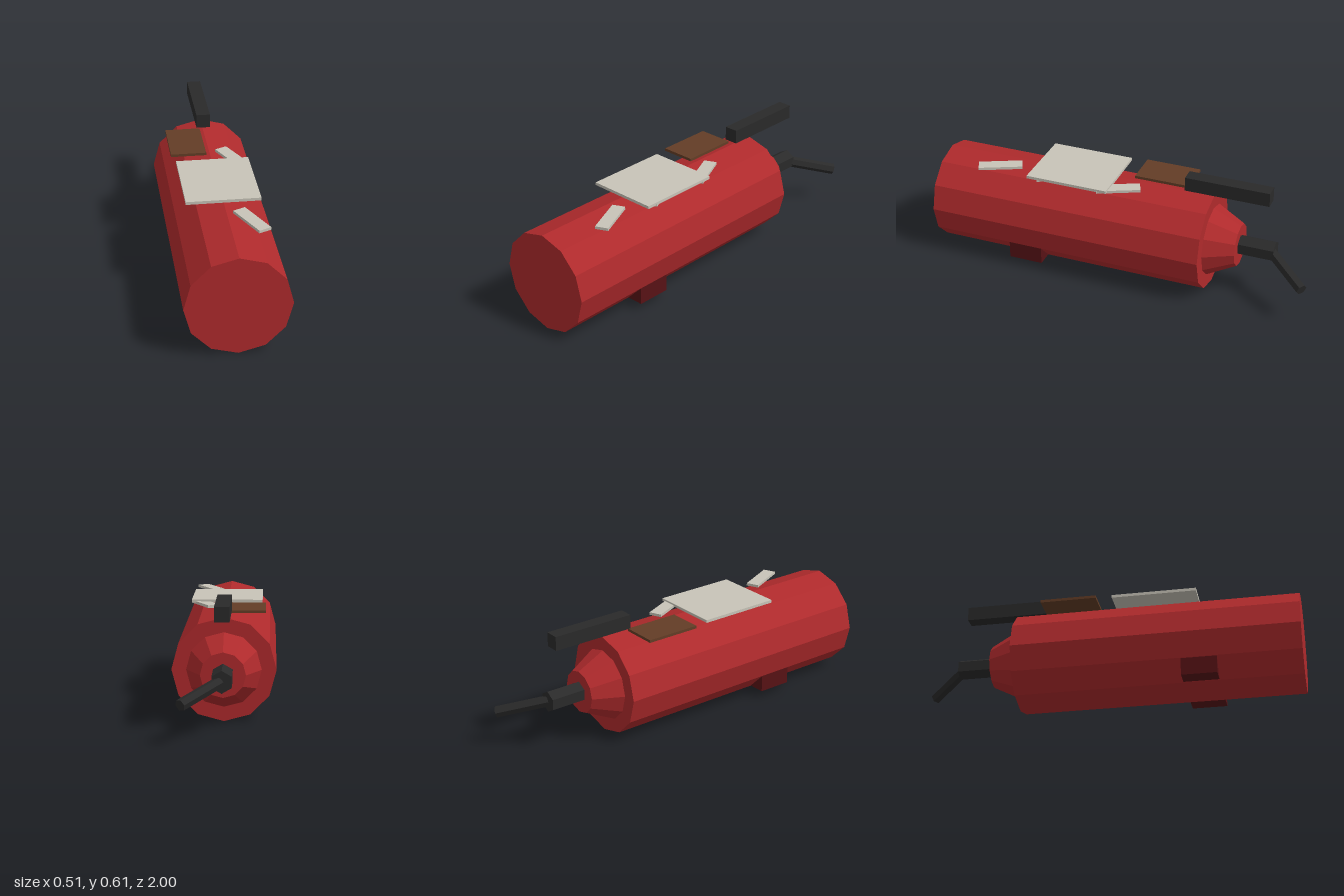
import * as THREE from 'three';

const mat = (name, color) => {
  const m = new THREE.MeshStandardMaterial({ color });
  m.name = name;
  m.flatShading = true;
  return m;
};

export function createModel() {
  const red = mat('red paint', 0xaf2a2c);
  const darkRed = mat('dark red', 0x571215);
  const black = mat('black', 0x2a2a2a);
  const cream = mat('cream', 0xc8c4b8);
  const brown = mat('brown', 0x633d26);

  const group = new THREE.Group();
  group.name = 'cylinder tank';

  const add = (name, geometry, material, x, y, z) => {
    const mesh = new THREE.Mesh(geometry, material);
    mesh.name = name;
    mesh.position.set(x, y, z);
    group.add(mesh);
    return mesh;
  };
  const box = (name, material, x, y, z, w, h, d) =>
    add(name, new THREE.BoxGeometry(w, h, d), material, x, y, z);
  // Faceted cylinder lying along z, from z0 (back) to z1 (front)
  const barrel = (name, material, y, rFront, rBack, z0, z1, sides) =>
    add(name, new THREE.CylinderGeometry(rFront, rBack, z1 - z0, sides).rotateX(Math.PI / 2),
      material, 0, y, (z0 + z1) / 2);

  // Tank lying on its side, with a tapered shoulder and valve at the back
  barrel('tank', red, 0.258, 0.256, 0.256, -0.465, 1, 12);
  barrel('shoulder', red, 0.258, 0.184, 0.11, -0.612, -0.465, 12);
  barrel('valve', black, 0.26, 0.054, 0.054, -0.797, -0.6, 6);

  // Angled nozzle
  const from = new THREE.Vector3(0.012, 0.257, -0.782);
  const to = new THREE.Vector3(0.181, 0.19, -0.984);
  const dir = to.clone().sub(from);
  const mid = from.clone().add(to).multiplyScalar(0.5);
  const nozzle = add('nozzle', new THREE.CylinderGeometry(0.029, 0.029, dir.length(), 6),
    black, mid.x, mid.y, mid.z);
  nozzle.quaternion.setFromUnitVectors(new THREE.Vector3(0, 1, 0), dir.normalize());

  // Lever above the valve
  box('lever', black, 0, 0.571, -0.54, 0.072, 0.073, 0.44);

  // Flat plates on top
  box('label', cream, 0, 0.524, 0.265, 0.368, 0.015, 0.435);
  box('brownPatch', brown, -0.111, 0.522, -0.178, 0.182, 0.014, 0.29);

  // Slanted strips in a row, the middle one tucked below the label
  for (let i = 0; i < 3; i++) {
    const strip = box('strip', cream, 0.109, 0.5155, 0.01 + i * 0.3275, 0.066, 0.014, 0.225);
    strip.rotation.y = 0.43;
  }

  // Pair of feet
  for (const side of [-1, 1]) {
    box('foot', darkRed, side * 0.165, 0.084, 0.49, 0.11, 0.09, 0.18);
  }

  return group;
}
